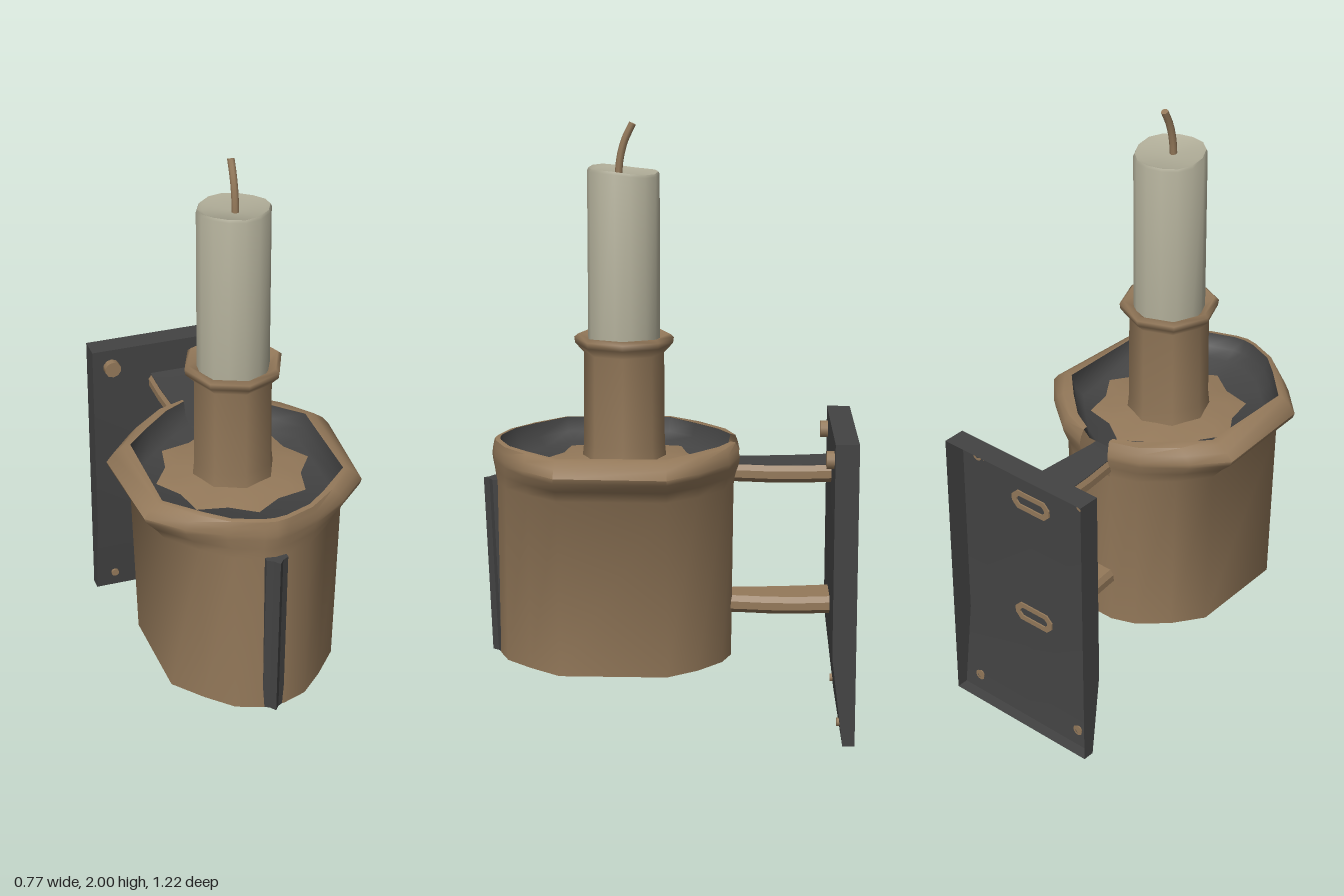
import * as THREE from 'three';
import { toCreasedNormals } from 'three/addons/utils/BufferGeometryUtils.js';

const CANDLE_Z = 0.145;

export function createModel() {
  const model = new THREE.Group();
  model.name = 'wallCandleSconce';

  const material = (name, color, side = THREE.FrontSide) => {
    const m = new THREE.MeshStandardMaterial({ color, side });
    m.name = name;
    return m;
  };
  const bronze = material('bronze', 0x94795a, THREE.DoubleSide);
  const iron = material('darkIron', 0x434343, THREE.DoubleSide);
  const wax = material('wax', 0xb0ad98);

  const add = (name, geometry, mat, x = 0, y = 0, z = 0) => {
    const mesh = new THREE.Mesh(geometry, mat);
    mesh.name = name;
    mesh.position.set(x, y, z);
    model.add(mesh);
    return mesh;
  };

  // Skin between rings of [x, y, z] points; openFrom leaves the last segment open from that height
  const loft = (rings, { openFrom = Infinity, crease = 0.75 } = {}) => {
    const n = rings[0].length;
    const index = [];
    for (let i = 0; i < rings.length - 1; i++) {
      for (let j = 0; j < n; j++) {
        if (j === n - 1 && rings[i][j][1] >= openFrom) continue;
        const k = (j + 1) % n;
        const a = i * n + j, b = i * n + k, c = a + n, d = b + n;
        index.push(a, c, b, b, c, d);
      }
    }
    const g = new THREE.BufferGeometry();
    g.setAttribute('position', new THREE.Float32BufferAttribute(rings.flat(2), 3));
    g.setIndex(index);
    return toCreasedNormals(g, crease);
  };

  // Half outlines of the cup [x, z], from the back to the front
  const bodyHalf = [[0.05, -0.21], [0.13, -0.18], [0.22, -0.1], [0.29, 0], [0.282, 0.35],
    [0.2, 0.45], [0.12, 0.53], [0.04, 0.56], [0, 0.565]];
  const rimHalf = [[0.06, -0.235], [0.165, -0.2], [0.295, -0.1], [0.387, 0], [0.367, 0.36],
    [0.265, 0.46], [0.15, 0.53], [0.04, 0.572], [0, 0.582]];
  const innerHalf = [[0.055, -0.205], [0.13, -0.165], [0.22, -0.085], [0.305, 0], [0.305, 0.35],
    [0.2, 0.455], [0.13, 0.515], [0.04, 0.55], [0, 0.555]];
  const ring = (half, y) => [
    ...half.map(([x, z]) => [x, y, z]),
    ...half.slice(0, -1).reverse().map(([x, z]) => [-x, y, z]),
  ];
  const mixRing = (t, y) => ring(bodyHalf.map(([x, z], i) =>
    [x + (rimHalf[i][0] - x) * t, z + (rimHalf[i][1] - z) * t]), y);
  const floorRing = (s, y) => ring(innerHalf.map(([x, z]) =>
    [x * s, CANDLE_Z + (z - CANDLE_Z) * s]), y);

  // Cup: bronze wall with flared rim, dark base, dark bowl-shaped lining
  add('cupWall', loft([
    mixRing(0, 0.23), mixRing(0.2, 0.82), mixRing(0.55, 0.86), mixRing(0.93, 0.895),
    mixRing(1, 0.912), mixRing(0.78, 0.938), mixRing(0.45, 0.96), ring(innerHalf, 0.963),
  ], { openFrom: 0.82, crease: 0.95 }), bronze);
  add('cupBase', loft([floorRing(0, 0.23), mixRing(0, 0.23)]), iron);
  add('cupLining', loft([ring(innerHalf, 0.962), floorRing(0.97, 0.915), floorRing(0.88, 0.887),
    floorRing(0, 0.885)], { openFrom: 0.9, crease: 1.2 }), iron);

  // Eight-pointed drip plate
  const starRing = (tip, valley, y) => Array.from({ length: 16 }, (_, i) => {
    const a = i * Math.PI / 8;
    const r = i % 2 ? valley : tip;
    return [Math.sin(a) * r, y, CANDLE_Z - Math.cos(a) * r];
  });
  add('dripPlate', loft([
    starRing(0.262, 0.222, 0.89), starRing(0.2, 0.185, 0.898), starRing(0.12, 0.12, 0.906),
  ]), bronze);

  // Candle holder with flared lip
  const profile = [[0.14, 0.88], [0.133, 0.95], [0.131, 1.25], [0.16, 1.28], [0.163, 1.3],
    [0.15, 1.311], [0.115, 1.285]].map(([r, y]) => new THREE.Vector2(r, y));
  add('candleHolder', new THREE.LatheGeometry(profile, 8), bronze, 0, 0, CANDLE_Z);

  // Candle with an uneven, slightly hollow top
  const candleRing = (r, y, sway = 0) => Array.from({ length: 14 }, (_, i) => {
    const a = i * Math.PI / 7;
    const lift = sway * (-Math.cos(a) + 0.35 * Math.cos(3 * a + 0.6));
    return [Math.sin(a) * r, y + lift, -Math.cos(a) * r];
  });
  add('candle', loft([
    candleRing(0.117, 1.2), candleRing(0.117, 1.838, 0.009), candleRing(0.113, 1.847, 0.009),
    candleRing(0.1, 1.842, 0.006), candleRing(0, 1.832),
  ]), wax, 0, 0, CANDLE_Z);
  const wickPath = new THREE.CatmullRomCurve3([[1.8, 0.162], [1.88, 0.156], [1.94, 0.141], [1.995, 0.115]]
    .map(([y, z]) => new THREE.Vector3(0, y, z)));
  add('wick', new THREE.TubeGeometry(wickPath, 8, 0.012, 8), bronze);
  const wickTip = add('wickTip', new THREE.CircleGeometry(0.012, 8), bronze, 0, 1.995, 0.115);
  wickTip.lookAt(wickTip.position.clone().add(wickPath.getTangent(1)));

  // Ridge down the front of the cup, with hollowed flanks
  const ridgeRing = (y, front) => [[-0.036, y, 0.55], [-0.036, y, front - 0.032], [-0.015, y, front - 0.02],
    [0, y, front], [0.015, y, front - 0.02], [0.036, y, front - 0.032], [0.036, y, 0.55]].reverse();
  const ridgeEnd = (y) => ridgeRing(y, 0.57).map(() => [0, y, 0.57]);
  add('frontRidge', loft([ridgeEnd(0.23), ridgeRing(0.23, 0.59), ridgeRing(0.825, 0.612), ridgeEnd(0.825)],
    { crease: 0.3 }), iron);

  // Back plate: a shell open to the wall, thinner towards its foot
  const plateOutline = [[-0.28, 0, -0.572], [-0.28, 0.3, -0.535], [-0.28, 1.01, -0.535],
    [0.297, 1.01, -0.535], [0.297, 0.3, -0.535], [0.297, 0, -0.572]];
  add('backPlate', loft([
    plateOutline.map(([x, y]) => [x, y, -0.612]),
    plateOutline,
    plateOutline.map(([, y, z]) => [0.0085, y, z]),
  ], { crease: 0.3 }), iron);

  // Support arms with chamfered section, narrowing towards the cup
  const armStations = [[-0.535, 0.079, 0.004], [-0.43, 0.077, 0], [-0.33, 0.071, -0.001],
    [-0.24, 0.062, 0], [-0.19, 0.058, 0]];
  const armSection = (z, w, y, h) => [[-w, -0.4], [-w, 0.4], [-w + 0.012, 1], [w - 0.012, 1],
    [w, 0.4], [w, -0.4], [w - 0.025, -1], [-w + 0.025, -1]].map(([x, v]) => [x, y + v * h, z]).reverse();
  const octagon = (w, h, c) => [[-w, -h + c], [-w + c, -h], [w - c, -h], [w, -h + c],
    [w, h - c], [w - c, h], [-w + c, h], [-w, h - c]].map(([x, y]) => new THREE.Vector2(x, y));
  for (const [name, y] of [['upper', 0.855], ['lower', 0.405]]) {
    add(name + 'Arm', loft(armStations.map(([z, w, dy]) => armSection(z, w, y + dy, 0.031)),
      { crease: 0.5 }), bronze);
    // Slot rim on the hidden side of the plate
    const slot = new THREE.Shape(octagon(0.08, 0.034, 0.022));
    slot.holes.push(new THREE.Path(octagon(0.06, 0.016, 0.012)));
    add(name + 'SlotRim', new THREE.ExtrudeGeometry(slot, { depth: 0.005, bevelEnabled: false }),
      bronze, 0, y, -0.541);
  }

  // Dark inlay on the upper arm, running into the cup floor
  const inlayRows = [...armStations.map(([z, w, dy]) => [z, w - 0.007, 0.855 + dy + 0.034]),
    [-0.15, 0.055, 0.886]];
  add('upperArmInlay', loft(inlayRows.map(([z, w, y]) =>
    [[-w, y - 0.003, z], [-w, y, z], [w, y, z], [w, y - 0.003, z]].reverse()), { crease: 0.3 }), iron);

  // Bolts at the four corners of the plate, with rings on its hidden side
  for (const side of [-1, 1]) {
    const x = 0.0085 + side * 0.222;
    for (const [name, y, r, front, back] of [
      ['upperBolt', 0.945, 0.029, -0.51, -0.535], ['lowerBolt', 0.06, 0.014, -0.555, -0.567]]) {
      const head = new THREE.CylinderGeometry(r, r, front - back, 10).rotateX(Math.PI / 2);
      add(name, head, bronze, x, y, (front + back) / 2);
      add(name + 'Ring', new THREE.RingGeometry(0.01, 0.019, 10), bronze, x, y, back - 0.004);
    }
  }

  return model;
}
